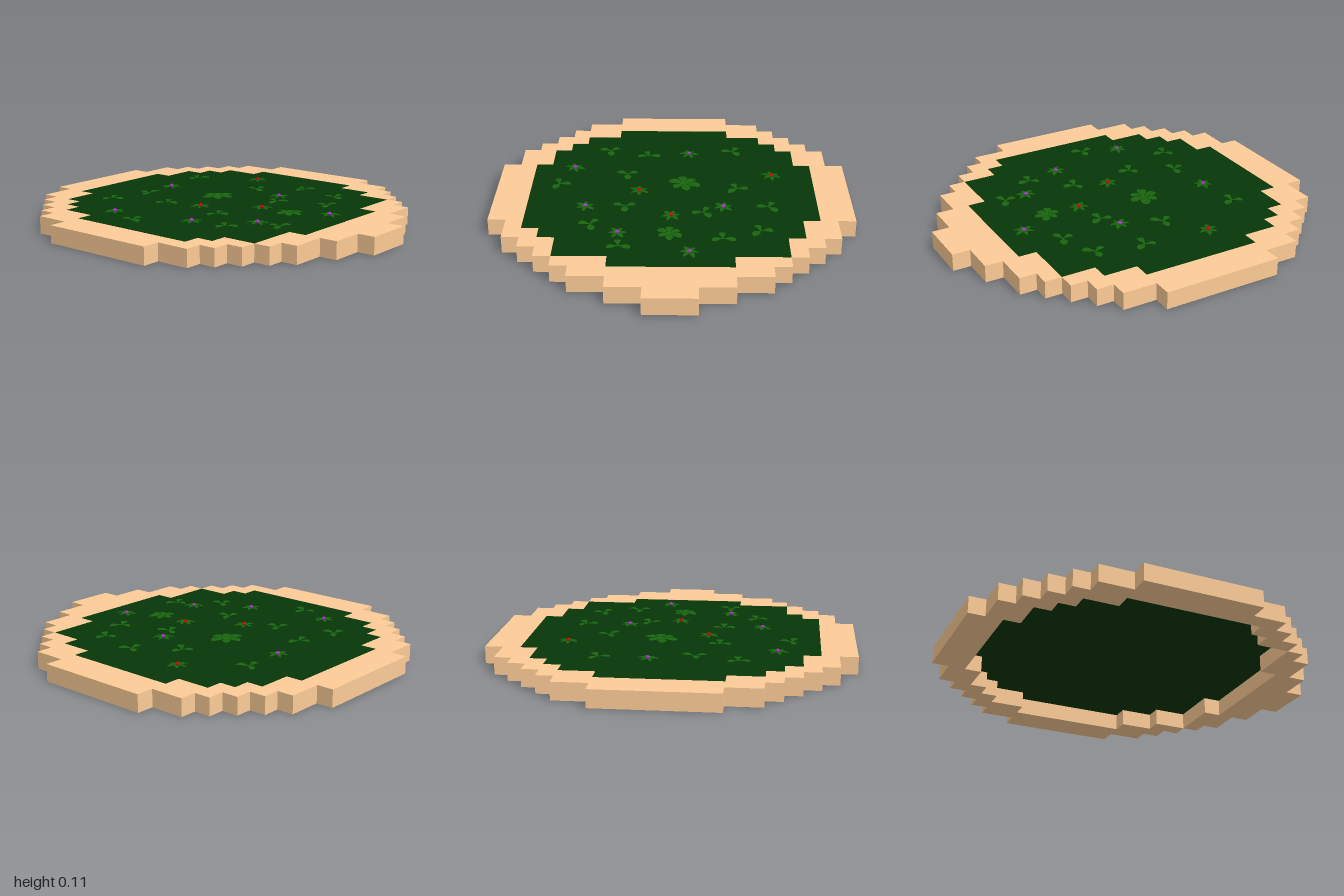
import * as THREE from 'three';

const RIM_TOP = 0.092;
const SOIL_Y = 0.091;

const mat = (color, extra = {}) => new THREE.MeshStandardMaterial({ color, ...extra });
const both = { side: THREE.DoubleSide };

// Stepped outline, counter-clockwise, from rows of [half width, z start, z end, left half width if different]
function steppedOutline(rows, Type) {
  const left = rows.flatMap(([x, z0, z1, xl = x]) => [[-xl, -z0], [-xl, -z1]]);
  const right = rows.flatMap(([x, z0, z1]) => [[x, -z0], [x, -z1]]).reverse();
  return new Type([...left, ...right].map(([x, y]) => new THREE.Vector2(x, y)));
}

const OUTER = [
  [0.315, -1, -0.91], [0.5, -0.91, -0.82], [0.59, -0.82, -0.73], [0.68, -0.73, -0.64],
  [0.77, -0.64, -0.55], [0.86, -0.55, -0.365], [0.955, -0.365, 0.27], [0.86, 0.27, 0.45],
  [0.77, 0.45, 0.54], [0.68, 0.54, 0.63], [0.59, 0.63, 0.72], [0.5, 0.72, 0.81],
  [0.315, 0.81, 0.905], [0.135, 0.905, 1],
];
const INNER = [
  [0.315, -0.82, -0.73], [0.5, -0.73, -0.64], [0.59, -0.64, -0.55], [0.68, -0.55, -0.365],
  [0.77, -0.365, 0.27], [0.68, 0.27, 0.36, 0.77], [0.68, 0.36, 0.45], [0.59, 0.45, 0.63],
  [0.315, 0.63, 0.725],
];

// Folded, arched leaf along +x built from cross-sections [x, half width, height]
function leafGeometry(sections, length, width, lift) {
  const pos = [], index = [];
  sections.forEach(([x, w, h]) => {
    for (const s of [-1, 0, 1]) {
      pos.push(x * length, (h + (s ? 0.2 * w : 0)) * lift, s * w * width);
    }
  });
  for (let i = 0; i < sections.length - 1; i++) {
    for (let j = 0; j < 2; j++) {
      const a = i * 3 + j, b = a + 3;
      index.push(a, a + 1, b, a + 1, b + 1, b);
    }
  }
  const g = new THREE.BufferGeometry();
  g.setAttribute('position', new THREE.Float32BufferAttribute(pos, 3));
  g.setIndex(index);
  g.computeVertexNormals();
  return g;
}

const ROUND = [[0, 0.15, 0], [0.25, 0.4, 0.5], [0.5, 0.9, 0.8], [0.72, 1, 0.8], [0.9, 0.75, 0.6], [1, 0.25, 0.4]];
const POINTED = [[0, 0.35, 0], [0.25, 0.8, 0.6], [0.5, 1, 0.8], [0.75, 0.75, 0.6], [1, 0, 0.2]];

// Leaves spread around a centre; angles in degrees from +x towards +z
function rosette(name, geometry, material, angles, x, y, z) {
  const group = new THREE.Group();
  group.name = name;
  group.position.set(x, y, z);
  angles.forEach((deg, i) => {
    const leaf = new THREE.Mesh(geometry, material);
    leaf.name = 'leaf';
    leaf.rotation.y = -THREE.MathUtils.degToRad(deg);
    leaf.scale.setScalar(1 - 0.08 * (i % 3));
    group.add(leaf);
  });
  return group;
}

const around = (n, start) => Array.from({ length: n }, (_, i) => start + (i * 360) / n);

// [x, z, height, leaf angles]
const SPROUTS = [
  [-0.36, -0.525, 0.102, [85, 190, -30]], [-0.14, -0.46, 0.102, [12, 165, -105]],
  [0.34, -0.52, 0.102, [60, 180, -55]], [-0.25, -0.23, 0.102, [88, 200, -20]],
  [-0.62, -0.13, 0.093, [110, 10, -105]], [0.35, -0.08, 0.093, [130, 5, -115]],
  [-0.25, 0.12, 0.093, [88, 190, -15]], [0.51, 0.125, 0.093, [55, 180, -60]],
  [0.165, 0.185, 0.093, [60, 165, -65]], [-0.42, 0.315, 0.093, [80, 185, -50]],
  [0.455, 0.375, 0.093, [125, 5, -110]], [0.26, 0.455, 0.093, [20, 155, -95]],
  [-0.265, 0.53, 0.093, [25, 155, -95]],
];
// [x, z, size, start angle]
const BUSHES = [[0.065, -0.135, 1.25, 20], [-0.01, 0.41, 1, 30]];
const PURPLE = 0xb030d0, RED = 0xd80008;
const FLOWERS = [
  [0.09, -0.5, PURPLE], [-0.55, -0.32, PURPLE], [0.545, -0.23, RED], [-0.18, -0.05, RED],
  [-0.46, 0.13, PURPLE], [0.27, 0.13, PURPLE], [-0.005, 0.225, RED], [-0.275, 0.405, PURPLE],
  [0.09, 0.59, PURPLE],
];

export function createModel() {
  const model = new THREE.Group();
  model.name = 'flowerBed';

  // Stepped border
  const border = steppedOutline(OUTER, THREE.Shape);
  border.holes.push(steppedOutline(INNER, THREE.Path));
  const rimGeo = new THREE.ExtrudeGeometry(border, { depth: RIM_TOP, bevelEnabled: false });
  rimGeo.rotateX(-Math.PI / 2);
  const rim = new THREE.Mesh(rimGeo, mat(0xfdcc97));
  rim.name = 'border';
  model.add(rim);

  // Thin planted surface, open below
  const lawnGeo = new THREE.ShapeGeometry(steppedOutline(INNER, THREE.Shape));
  lawnGeo.rotateX(-Math.PI / 2);
  const lawn = new THREE.Mesh(lawnGeo, mat(0x073608, both));
  lawn.name = 'lawn';
  lawn.position.y = SOIL_Y;
  model.add(lawn);

  const leafMat = mat(0x18640e, both);
  const sproutLeaf = leafGeometry(ROUND, 0.068, 0.02, 0.008);
  const bushLeaf = leafGeometry(ROUND, 0.072, 0.021, 0.008);
  const flowerLeaf = leafGeometry(POINTED, 0.06, 0.013, 0.007);
  const petal = leafGeometry(POINTED, 0.016, 0.006, 0.004);

  // Three-leaved sprouts
  for (const [x, z, y, angles] of SPROUTS) {
    model.add(rosette('sprout', sproutLeaf, leafMat, angles, x, y, z));
  }

  // Larger leafy plants
  for (const [x, z, size, start] of BUSHES) {
    const bush = rosette('leafyPlant', bushLeaf, leafMat, around(6, start), x, 0.093, z);
    bush.scale.set(size, 1, size);
    model.add(bush);
  }

  // Flowers: pointed leaves, small petals and a bud
  const petalMats = new Map([PURPLE, RED].map((c) => [c, mat(c, both)]));
  const budGeo = new THREE.SphereGeometry(0.009, 8, 6);
  FLOWERS.forEach(([x, z, color], i) => {
    const flower = rosette('flower', flowerLeaf, leafMat, around(6, 8 + i * 7), x, 0.093, z);
    const bloom = rosette('bloom', petal, petalMats.get(color), around(5, i * 20), 0, 0.008, 0);
    const bud = new THREE.Mesh(budGeo, petalMats.get(color));
    bud.name = 'bud';
    bud.position.y = 0.009;
    flower.add(bloom, bud);
    model.add(flower);
  });

  return model;
}
